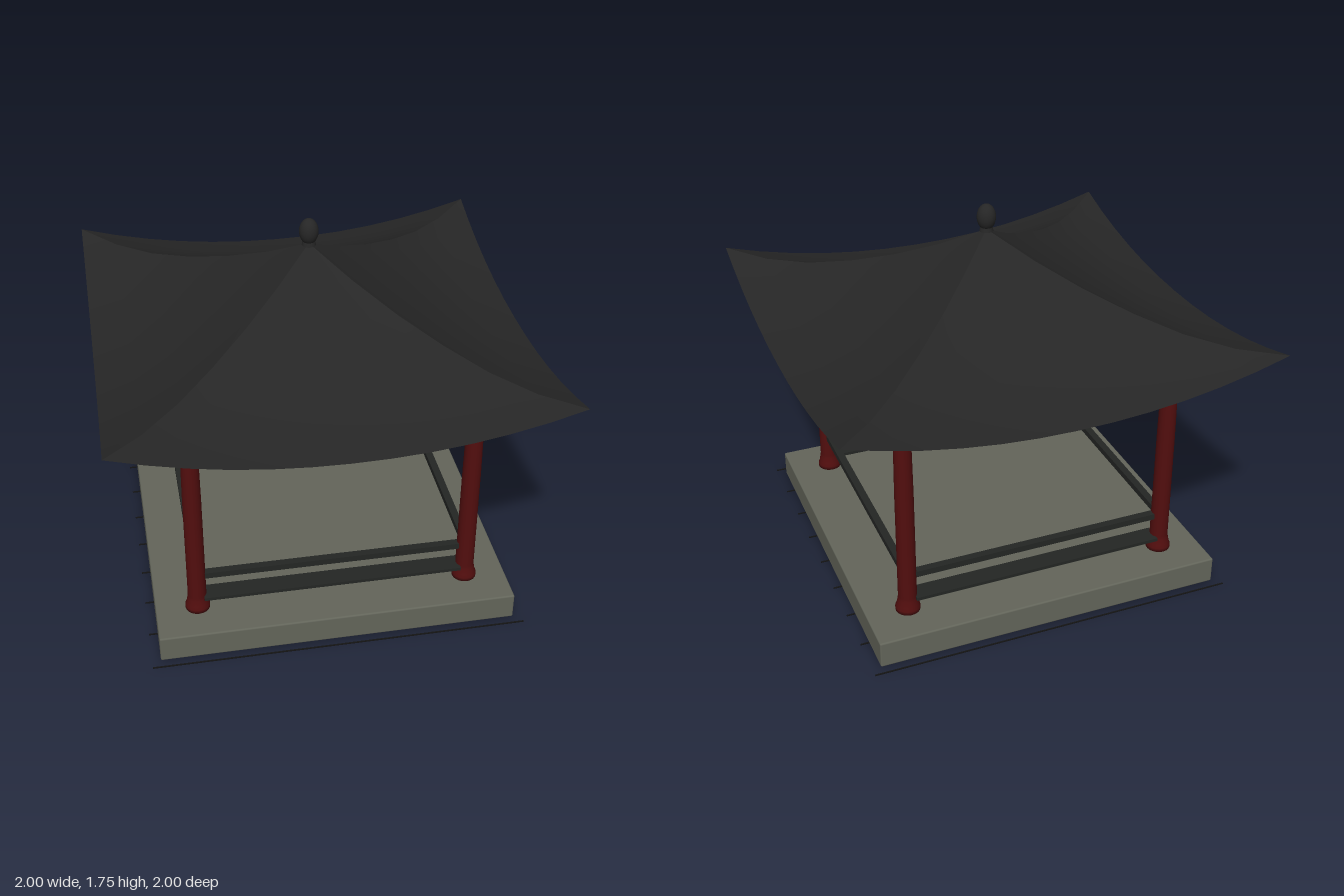
import * as THREE from 'three';
import { RoundedBoxGeometry } from 'three/addons/geometries/RoundedBoxGeometry.js';

const material = (name, color, side = THREE.FrontSide) => {
  const m = new THREE.MeshStandardMaterial({ color, side });
  m.name = name;
  return m;
};

// Height of the roof hips from the peak out to the corner, in equal steps
const HIP = [1.63, 1.515, 1.42, 1.345, 1.29, 1.268, 1.285];

// One quarter of the roof: rows run from peak to eave, each row sags between the hips
function roofSide() {
  const rows = HIP.length - 1, cols = 12;
  const pos = [], index = [];
  for (let i = 0; i <= rows; i++) {
    const r = i / rows;
    for (let j = 0; j <= cols; j++) {
      const s = (2 * j) / cols - 1;
      pos.push(r * s, HIP[i] - 0.148 * r * r * (1 - Math.pow(Math.abs(s), 2.1)), r);
    }
  }
  for (let i = 0; i < rows; i++) {
    for (let j = 0; j < cols; j++) {
      const a = i * (cols + 1) + j, b = a + cols + 1;
      if (i > 0) index.push(a, b + 1, a + 1);
      index.push(a, b, b + 1);
    }
  }
  const g = new THREE.BufferGeometry();
  g.setAttribute('position', new THREE.Float32BufferAttribute(pos, 3));
  g.setIndex(index);
  g.computeVertexNormals();
  return g;
}

export function createModel() {
  const stone = material('stone', 0x63655a);
  const red = material('red lacquer', 0x520e0e);
  const tile = material('roof tile', 0x262626, THREE.DoubleSide);
  const timber = material('dark timber', 0x242624);
  const joint = material('joint black', 0x141414);

  const model = new THREE.Group();
  model.name = 'pavilion';
  const add = (name, geometry, mat, x = 0, y = 0, z = 0) => {
    const mesh = new THREE.Mesh(geometry, mat);
    mesh.name = name;
    mesh.position.set(x, y, z);
    model.add(mesh);
    return mesh;
  };

  // Stone platform and the thin paving joints beneath it
  add('platform', new RoundedBoxGeometry(1.66, 0.13, 1.66, 2, 0.008), stone, 0, 0.067, 0);
  const jointGeo = new THREE.BoxGeometry(1.74, 0.005, 0.006);
  for (let i = 0; i < 9; i++) {
    add('pavingJoint', jointGeo, joint, 0, 0.0035, -0.87 + i * 0.2175);
  }

  // Four columns with flared feet and small capitals
  const C = 0.635;
  const columnGeo = new THREE.LatheGeometry(
    [[0, 0.13], [0.057, 0.13], [0.057, 0.15], [0.051, 0.165], [0.045, 0.195], [0.043, 0.21],
      [0.042, 0.75], [0.039, 1.02], [0.034, 1.115], [0.043, 1.135], [0, 1.137]]
      .map(([x, y]) => new THREE.Vector2(x, y)), 20);
  for (const x of [-C, C]) for (const z of [-C, C]) add('column', columnGeo, red, x, 0, z);

  // Lintels crossing at the corners, and a handrail on every side
  const beamGeo = new RoundedBoxGeometry(1.39, 0.088, 0.068, 2, 0.008);
  const railGeo = new THREE.BoxGeometry(2 * C - 0.06, 0.03, 0.035);
  const sideGeo = roofSide();
  for (let i = 0; i < 4; i++) {
    const a = (i * Math.PI) / 2, x = C * Math.sin(a), z = C * Math.cos(a);
    add('lintel', beamGeo, timber, x, 1.071, z).rotation.y = a;
    add('handrail', railGeo, timber, x, 0.32, z).rotation.y = a;
    add('roofSide', sideGeo, tile).rotation.y = a;
  }

  // Bench planks along the front and back only
  const benchGeo = new THREE.BoxGeometry(2 * C - 0.06, 0.016, 0.092);
  for (const z of [-C, C]) add('bench', benchGeo, timber, 0, 0.203, z);

  // Finial on the peak
  add('finialNeck', new THREE.CylinderGeometry(0.026, 0.032, 0.03, 20), tile, 0, 1.638, 0);
  add('finial', new THREE.SphereGeometry(0.044, 20, 14), tile, 0, 1.69, 0).scale.y = 1.4;

  return model;
}
